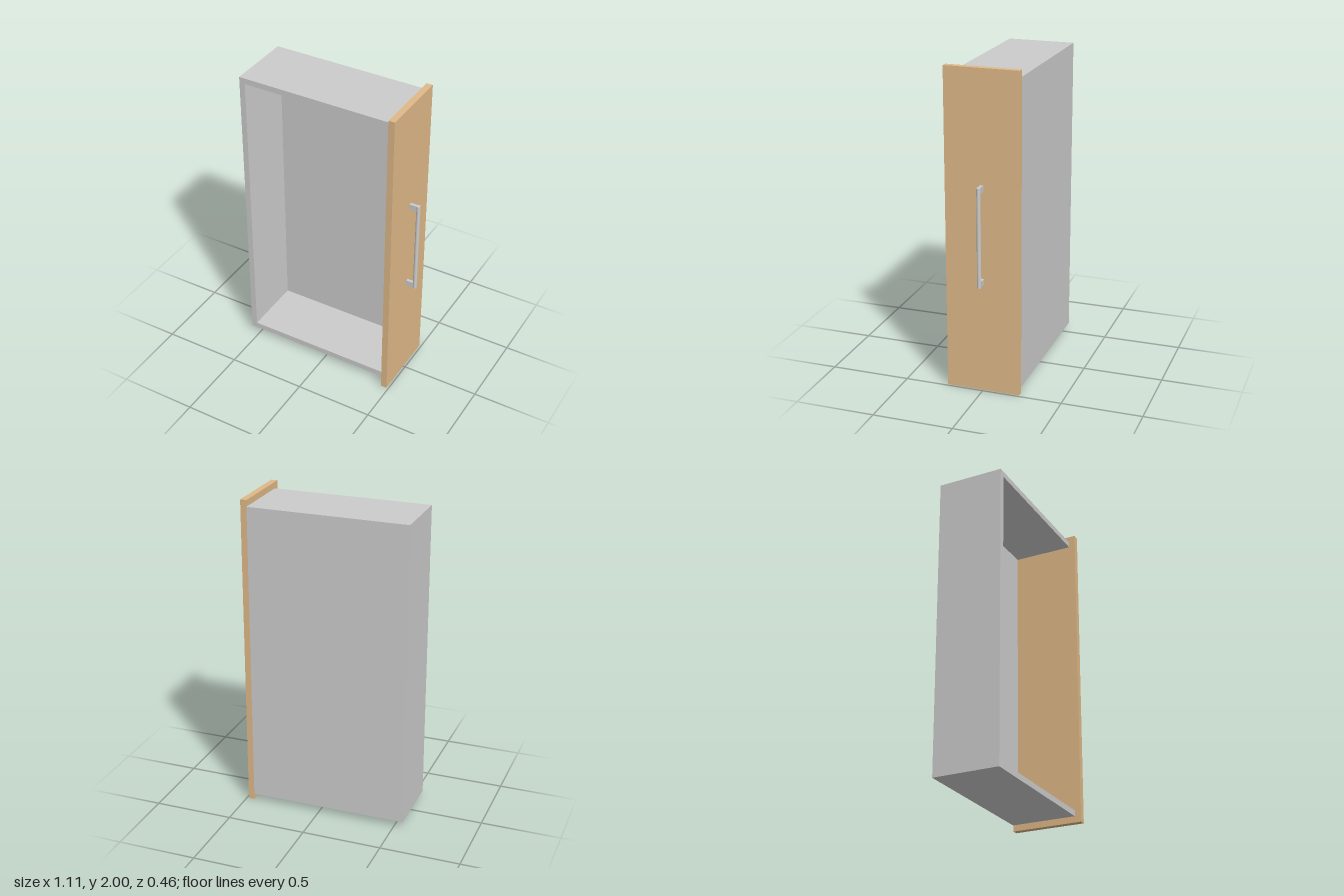
import * as THREE from 'three';

const grey = new THREE.MeshStandardMaterial({ color: 0xcccccc });
const wood = new THREE.MeshStandardMaterial({ color: 0xdeb887 });

// Box given by its lower and upper corners
function slab(name, [x0, y0, z0], [x1, y1, z1], material) {
  const mesh = new THREE.Mesh(new THREE.BoxGeometry(x1 - x0, y1 - y0, z1 - z0), material);
  mesh.position.set((x0 + x1) / 2, (y0 + y1) / 2, (z0 + z1) / 2);
  mesh.name = name;
  return mesh;
}

export function createModel() {
  const model = new THREE.Group();
  model.name = 'drawer';

  // Drawer box standing on its side, open towards +z
  const left = -0.557, right = 0.447, low = 0.04, high = 1.96;
  const back = -0.232, front = 0.19, t = 0.037;
  const tray = new THREE.Group();
  tray.name = 'drawerBox';
  tray.add(
    slab('drawerBottom', [left, low, back], [right, high, back + 0.034], grey),
    slab('endWall', [left, low, back + 0.034], [left + t, high, front], grey),
    slab('lowerSideWall', [left + t, low, back + 0.034], [right, low + t, front], grey),
    slab('upperSideWall', [left + t, high - t, back + 0.034], [right, high, front], grey)
  );
  model.add(tray);

  // Wooden front panel
  model.add(slab('frontPanel', [right, 0, -0.23], [0.487, 2, 0.231], wood));

  // Handle: a round bar on two square posts
  const handle = new THREE.Group();
  handle.name = 'handle';
  const bar = new THREE.Mesh(new THREE.CylinderGeometry(0.0125, 0.0125, 0.618, 24), grey);
  bar.position.set(0.543, 1.002, 0);
  bar.name = 'handleBar';
  handle.add(bar);
  for (const [name, y] of [['lowerPost', 0.693], ['upperPost', 1.274]]) {
    handle.add(slab(name, [0.487, y, -0.0095], [0.54, y + 0.037, 0.0095], grey));
  }
  model.add(handle);

  return model;
}
